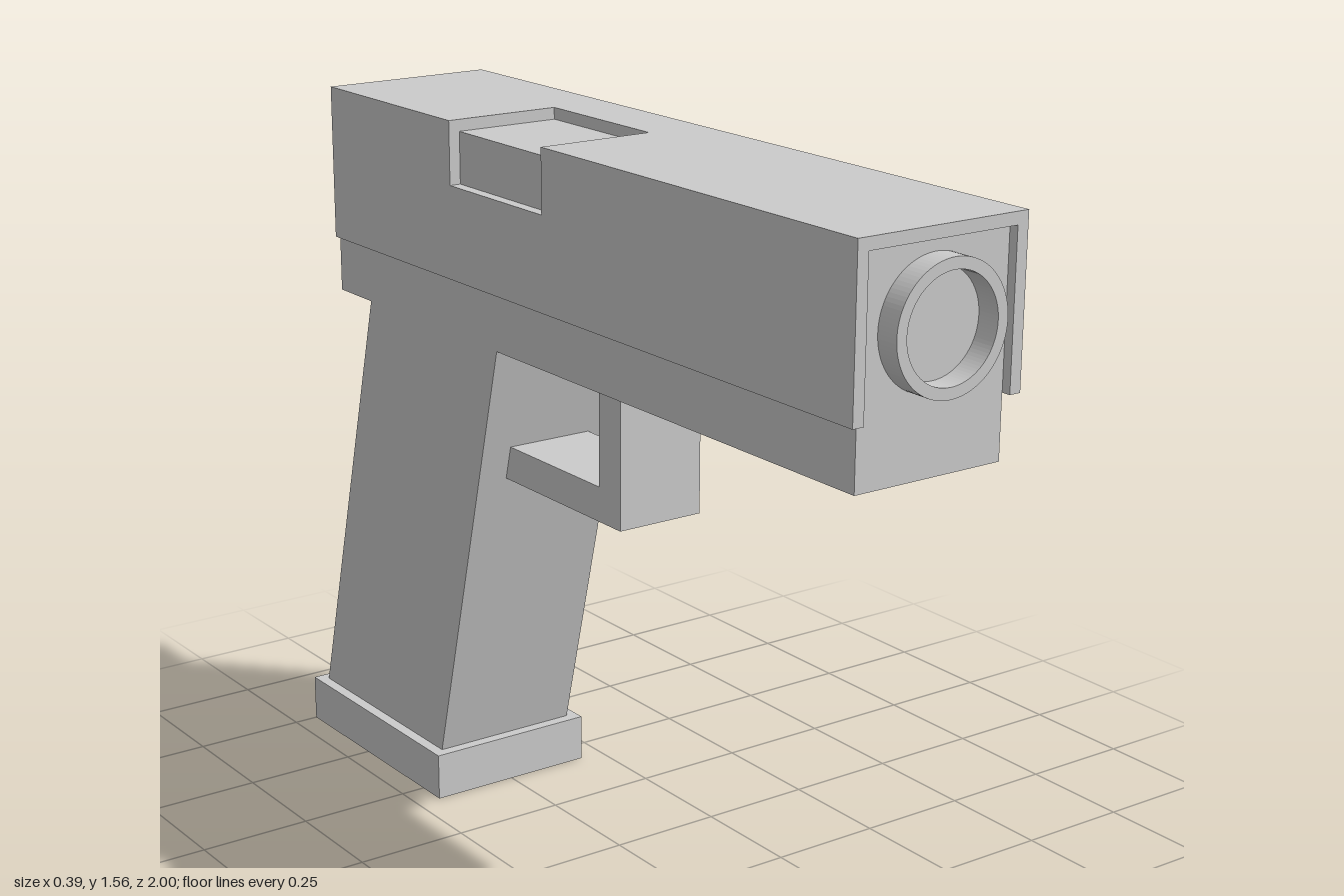
import * as THREE from 'three';

const material = new THREE.MeshStandardMaterial({ color: 0xcccccc, flatShading: true });
const smooth = new THREE.MeshStandardMaterial({ color: 0xcccccc });

const polygon = (points) => new THREE.Shape(points.map(([a, b]) => new THREE.Vector2(a, b)));

function part(name, geometry, mat = material) {
  const mesh = new THREE.Mesh(geometry, mat);
  mesh.name = name;
  return mesh;
}

// Side profile given as [z, y], extruded across x and centred on x = 0
function sideProfile(name, points, width) {
  const geometry = new THREE.ExtrudeGeometry(polygon(points), { depth: width, bevelEnabled: false });
  geometry.translate(0, 0, -width / 2).rotateY(-Math.PI / 2);
  return part(name, geometry);
}

// Front section given as [x, y], extruded from z0 to z1
function frontSection(name, points, z0, z1) {
  const geometry = new THREE.ExtrudeGeometry(polygon(points), { depth: z1 - z0, bevelEnabled: false });
  geometry.translate(0, 0, z0);
  return part(name, geometry);
}

export function createModel() {
  const model = new THREE.Group();
  const outer = 0.195, inner = 0.17;
  const top = 1.56, roof = 1.535, skirt = 1.225;

  // Frame and slanted grip in one piece
  model.add(sideProfile('frameAndGrip', [
    [0.95, roof], [-0.845, roof], [-0.845, 1.095], [-0.715, 1.095],
    [-0.975, 0.105], [-0.455, 0.105], [-0.2, 1.095], [0.95, 1.095],
  ], inner * 2));

  // Base plate under the grip
  const base = part('basePlate', new THREE.BoxGeometry(outer * 2, 0.105, 0.57));
  base.position.set(0, 0.0525, -0.715);
  model.add(base);

  // Slide: thin channel over the frame, with a port cut in the top and one side
  const slide = new THREE.Group();
  slide.name = 'slide';
  const channel = [
    [-outer, skirt], [-inner, skirt], [-inner, roof], [inner, roof],
    [inner, skirt], [outer, skirt], [outer, top], [-outer, top],
  ];
  const portTop = [[0.065, roof], [inner, roof], [inner, skirt], [outer, skirt], [outer, top], [0.065, top]];
  const portWall = [[-outer, skirt], [-inner, skirt], [-inner, 1.425], [-outer, 1.425]];
  slide.add(
    frontSection('slideRear', channel, -0.82, -0.33),
    frontSection('slideFront', channel, 0.01, 0.97),
    frontSection('slideBesidePort', portTop, -0.33, 0.01),
    frontSection('slideBelowPort', portWall, -0.33, 0.01),
  );
  model.add(slide);

  // Barrel ring, open at the front
  const ring = new THREE.Shape().absarc(0, 0, 0.128, 0, Math.PI * 2, false);
  ring.holes.push(new THREE.Path().absarc(0, 0, 0.105, 0, Math.PI * 2, true));
  const barrel = part('barrel', new THREE.ExtrudeGeometry(ring, { depth: 0.05, bevelEnabled: false, curveSegments: 48 }), smooth);
  barrel.position.set(0, 1.38, 0.95);
  model.add(barrel);

  // Trigger guard, running back into the grip
  model.add(sideProfile('triggerGuard', [
    [0.145, 1.095], [0.07, 1.095], [0.07, 0.86], [-0.3, 0.86], [-0.3, 0.785], [0.145, 0.785],
  ], 0.2));

  // Hammer
  model.add(sideProfile('hammer', [
    [-0.845, 1.48], [-0.923, 1.48], [-0.923, 1.38], [-0.845, 1.305],
  ], 0.13));

  return model;
}
